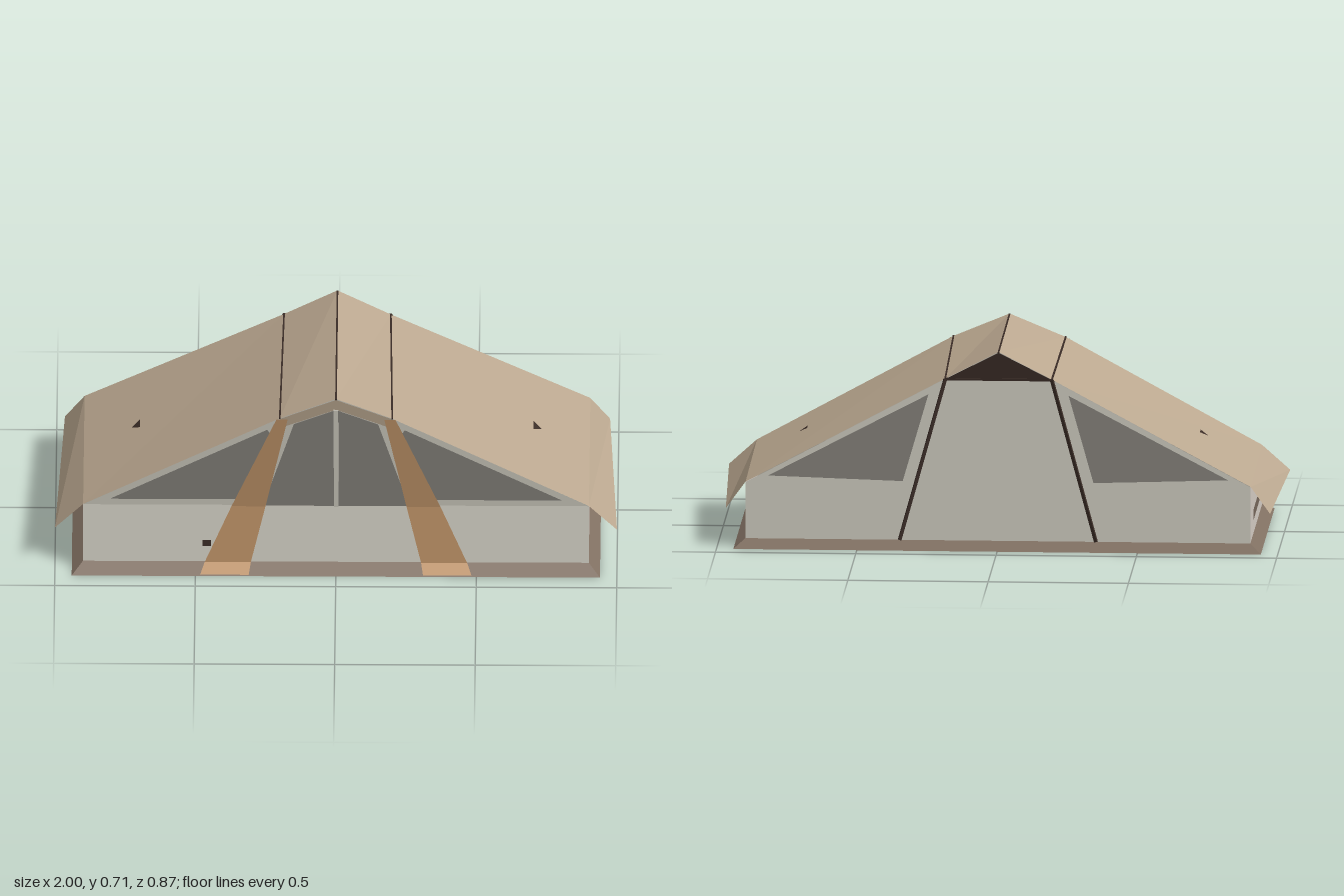
import * as THREE from 'three';

const paint = (name, color) => {
  const m = new THREE.MeshStandardMaterial({ color, side: THREE.DoubleSide });
  m.name = name;
  return m;
};

export function createModel() {
  const tent = new THREE.Group();
  tent.name = 'tent';
  const roofTan = paint('roof tan', 0xbaa78f);
  const canvas = paint('canvas cream', 0xd3d0c4);
  const endCanvas = paint('end canvas', 0xd2cac2);
  const mesh = paint('window mesh grey', 0x88857e);
  const strapTan = paint('strap orange tan', 0xc09468);
  const skirtBrown = paint('skirt brown', 0x806f61);
  const ventBrown = paint('vent brown', 0x75665a);
  const dark = paint('seam dark brown', 0x3a2c26);

  // Flat convex panel from its corners
  function panel(name, pts, mat) {
    const index = [];
    for (let i = 1; i < pts.length - 1; i++) index.push(0, i, i + 1);
    let g = new THREE.BufferGeometry();
    g.setAttribute('position', new THREE.Float32BufferAttribute(pts.flat(), 3));
    g.setIndex(index);
    g = g.toNonIndexed();
    g.computeVertexNormals();
    const m = new THREE.Mesh(g, mat);
    m.name = name;
    tent.add(m);
  }
  // Thin straight bar between two points
  function bar(name, a, b, w, mat) {
    const A = new THREE.Vector3(...a), B = new THREE.Vector3(...b);
    const m = new THREE.Mesh(new THREE.BoxGeometry(w, w, A.distanceTo(B)), mat);
    m.position.copy(A).add(B).multiplyScalar(0.5);
    m.lookAt(B);
    m.name = name;
    tent.add(m);
  }
  // Depth of the leaning front and back walls at height y
  const zFront = y => y < 0.245 ? 0.385 - (y - 0.03) * 0.186 : 0.345 + (y - 0.245) * 0.028;
  const zBack = y => -0.385 + (y - 0.03) * 0.0862;
  const front = (pts, lift = 0) => pts.map(([x, y]) => [x, y, zFront(y) + lift]);
  const back = (pts, lift = 0) => pts.map(([x, y]) => [x, y, zBack(y) - lift]);

  // Roof cross-sections, ridge to flap tip
  const roofFront = [[0, 0.71, 0.362], [0.2, 0.627, 0.362], [0.9, 0.247, 0.347], [1, 0.155, 0.36]];
  const roofBack = [[0, 0.706, -0.342], [0.19, 0.607, -0.338], [0.9, 0.232, -0.37], [0.97, 0.137, -0.38]];
  const roofNames = ['upperRoof', 'mainRoof', 'eaveFlap'];

  for (const s of [1, -1]) {
    const flip = pts => pts.map(([x, y, z]) => (z === undefined ? [x * s, y] : [x * s, y, z]));
    const F = flip(roofFront), B = flip(roofBack);
    for (let i = 0; i < 3; i++) {
      const quad = [F[i], F[i + 1], B[i + 1], B[i]];
      panel(roofNames[i], s > 0 ? quad : quad.reverse(), roofTan);
    }
    bar('roofSeam', F[1], B[1], 0.006, dark);

    // Triangular roof vent marker
    panel('roofVent', flip([[0.7, 0.362, 0.025], [0.73, 0.344, 0], [0.7, 0.362, -0.025]]), dark);

    // End wall and its low vent
    panel('endWall', flip([[0.9, 0.03, 0.385], [0.9, 0.03, -0.385], [0.9, 0.23, zBack(0.23)], [0.9, 0.245, 0.345]]), endCanvas);
    panel('endVent', flip([[0.904, 0.09, 0.26], [0.904, 0.09, -0.26], [0.904, 0.128, -0.265], [0.904, 0.131, 0.262]]), ventBrown);

    // Front mesh windows and fascia under the peak
    panel('frontSideWindow', front(flip([[0.805, 0.272], [0.245, 0.575], [0.225, 0.545], [0.335, 0.272]]), 0.004), mesh);
    panel('doorWindow', front(flip([[0, 0.245], [0.26, 0.245], [0.15, 0.6], [0, 0.662]]), 0.004), mesh);
    panel('peakFascia', front(flip([[0, 0.707], [0.2, 0.624], [0.18, 0.592], [0, 0.665]]), 0.006), roofTan);

    // Strap draped down the front wall and over the skirt
    const strap = [[0.172, 0.212, 0.622, 0.363], [0.251, 0.372, 0.245, 0.354], [0.303, 0.467, 0.032, 0.393], [0.31, 0.483, 0.006, 0.435]];
    for (let i = 0; i < 3; i++) {
      const [a, b, y, z] = strap[i], [c, d, v, w] = strap[i + 1];
      panel('frontStrap', flip([[a, y, z], [b, y, z], [d, v, w], [c, v, w]]), strapTan);
    }

    // Back windows and door seams
    panel('backWindow', back(flip([[0.82, 0.255], [0.34, 0.24], [0.25, 0.55]]), 0.004), mesh);
    const [top, foot] = back(flip([[0.19, 0.605], [0.35, 0.03]]), 0.003);
    bar('backDoorSeam', top, foot, 0.011, dark);

    // Flared ground skirt: one end and one long side
    panel('skirtEnd', flip([[0.9, 0.03, 0.385], [0.94, 0, 0.435], [0.94, 0, -0.435], [0.9, 0.03, -0.385]]), skirtBrown);
    panel('skirtSide', [[-0.9, 0.03, 0.385 * s], [-0.94, 0, 0.435 * s], [0.94, 0, 0.435 * s], [0.9, 0.03, 0.385 * s]], skirtBrown);
  }

  // Front wall: lower band and gable
  panel('frontLowerWall', front([[-0.9, 0.03], [0.9, 0.03], [0.9, 0.245], [-0.9, 0.245]]), canvas);
  panel('frontGable', front([[-0.9, 0.245], [0.9, 0.245], [0.2, 0.625], [0, 0.708], [-0.2, 0.625]]), canvas);
  bar('doorZip', [0, 0.245, 0.348], [0, 0.665, 0.36], 0.016, canvas);
  panel('frontTag', front([[-0.475, 0.093], [-0.445, 0.093], [-0.445, 0.115], [-0.475, 0.115]], 0.008), dark);

  // Back wall, with a dark peak vent
  panel('backWall', back([[0.9, 0.03], [-0.9, 0.03], [-0.9, 0.23], [-0.19, 0.605], [0.19, 0.605], [0.9, 0.23]]), canvas);
  panel('peakVent', [[0.19, 0.605, -0.336], [-0.19, 0.605, -0.336], [0, 0.702, -0.336]], dark);
  bar('peakVentSill', [-0.19, 0.605, -0.337], [0.19, 0.605, -0.337], 0.008, dark);
  bar('ridgeSeam', [0, 0.707, 0.362], [0, 0.703, -0.342], 0.006, dark);
  return tent;
}
